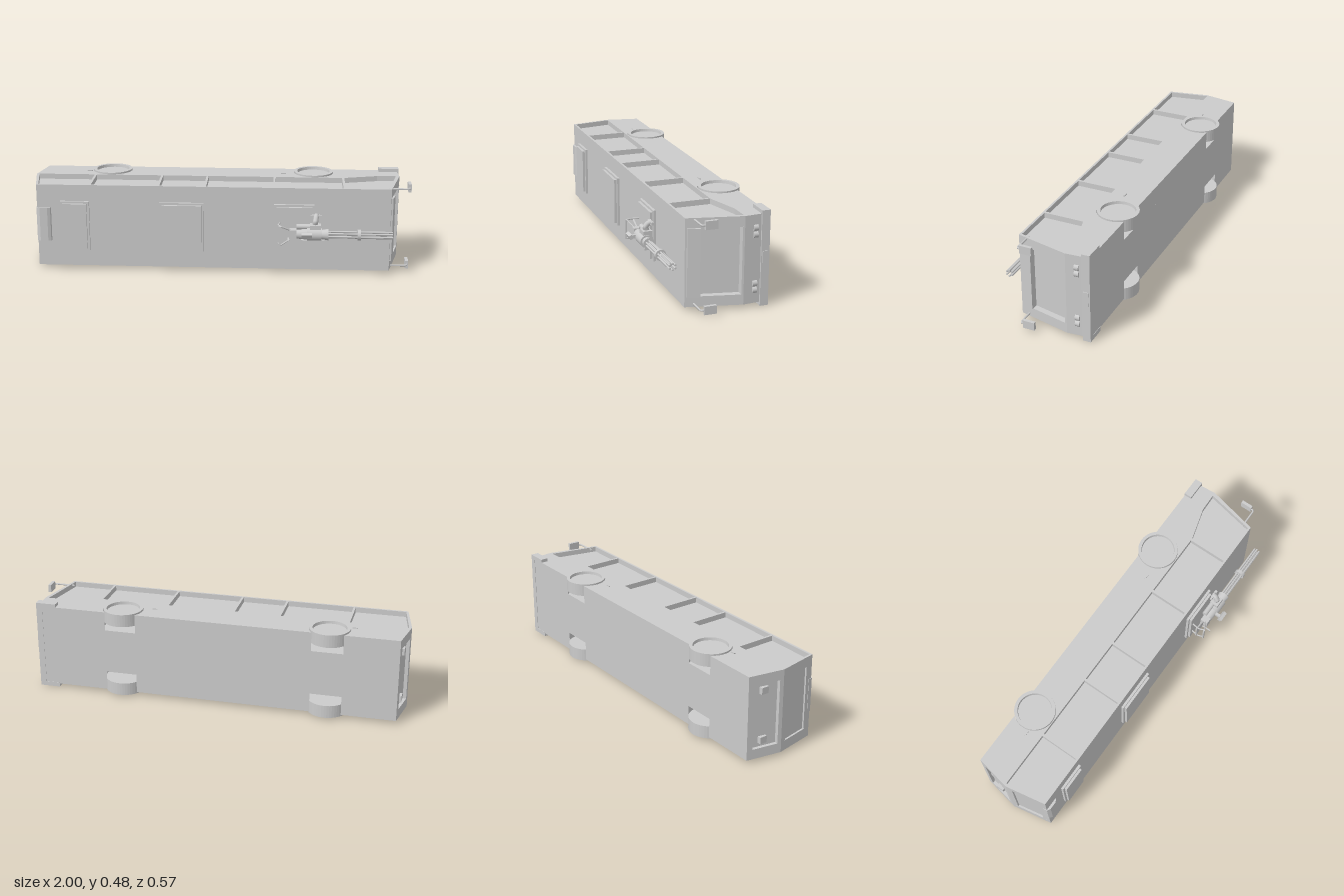
import * as THREE from 'three';

const MID = 0.239; // the bus lies on its side: its width runs along y, its roof faces +z
const WHEEL_X = [-0.6, 0.495], WHEEL_Z = -0.187;

export function createModel() {
  const root = new THREE.Group();
  const mat = new THREE.MeshStandardMaterial({ color: 0xcccccc });
  const openMat = new THREE.MeshStandardMaterial({ color: 0xcccccc, side: THREE.DoubleSide });

  const add = (name, geo, m = mat) => {
    const mesh = new THREE.Mesh(geo, m);
    mesh.name = name;
    root.add(mesh);
    return mesh;
  };
  const box = (name, x0, x1, y0, y1, z0, z1) => {
    const g = new THREE.BoxGeometry(x1 - x0, y1 - y0, z1 - z0);
    g.translate((x0 + x1) / 2, (y0 + y1) / 2, (z0 + z1) / 2);
    return add(name, g);
  };
  // prism with an (x, z) outline, running from y0 to y1; holes wind against the outline
  const vec = (pts) => pts.map(([x, z]) => new THREE.Vector2(x, -z));
  const prism = (name, pts, y0, y1, holes = []) => {
    const s = new THREE.Shape(vec(pts));
    holes.forEach((h) => s.holes.push(new THREE.Path(vec(h).reverse())));
    const g = new THREE.ExtrudeGeometry(s, { depth: y1 - y0, bevelEnabled: false });
    g.rotateX(-Math.PI / 2).translate(0, y0, 0);
    return add(name, g);
  };
  // same on both sides of the bus
  const bothPrism = (name, pts, y0, y1, holes) => {
    prism(name, pts, y0, y1, holes);
    prism(name, pts, 2 * MID - y1, 2 * MID - y0, holes);
  };
  const bothBox = (name, x0, x1, y0, y1, z0, z1) => {
    box(name, x0, x1, y0, y1, z0, z1);
    box(name, x0, x1, 2 * MID - y1, 2 * MID - y0, z0, z1);
  };
  const rodX = (name, x0, x1, y, z, r0, r1 = r0, seg = 16) => {
    const g = new THREE.CylinderGeometry(r1, r0, x1 - x0, seg);
    g.rotateZ(-Math.PI / 2).translate((x0 + x1) / 2, y, z);
    return add(name, g);
  };
  const tube = (name, pts, r, seg = 16) => {
    const c = new THREE.CatmullRomCurve3(pts.map((p) => new THREE.Vector3(...p)), false, 'catmullrom', 0.1);
    return add(name, new THREE.TubeGeometry(c, seg, r, 8), openMat);
  };

  // Body outline, optionally with wheel wells and recessed end panels
  const outline = (wells, recessed) => {
    const p = [[-0.965, -0.255]];
    if (wells) {
      const r = 0.107, a0 = Math.asin((-0.255 - WHEEL_Z) / r);
      for (const wx of WHEEL_X)
        for (let i = 0; i <= 24; i++) {
          const a = Math.PI - a0 + (2 * a0 - Math.PI) * (i / 24);
          p.push([wx + r * Math.cos(a), WHEEL_Z + r * Math.sin(a)]);
        }
    }
    p.push([0.945, -0.255], [0.955, -0.13]);
    if (recessed) p.push([0.953, -0.12], [0.92, -0.12], [0.878, 0.075], [0.909, 0.075]);
    p.push([0.893, 0.145], [-0.96, 0.145]);
    if (recessed) p.push([-0.967, 0.105], [-0.957, 0.105], [-0.985, -0.04], [-0.994, -0.04]);
    p.push([-1, -0.07]);
    if (recessed) p.push([-0.996, -0.09], [-0.978, -0.09], [-0.953, -0.225], [-0.971, -0.225]);
    return p;
  };

  // Body, in layers across its width
  prism('bodyCore', outline(false, true), 0.12, 2 * MID - 0.12);
  bothPrism('bodyWheelBay', outline(true, true), 0.07, 0.12);
  bothPrism('bodyCorner', outline(true, false), 0.046, 0.07);

  // Side walls with window openings
  const top = 0.134, sill = -0.076;
  const windows = [[[-0.986, sill], [-0.685, sill], [-0.685, top], [-0.95, top]]];
  for (const [a, b] of [[-0.673, -0.325], [-0.313, -0.08], [-0.068, 0.28], [0.292, 0.645]])
    windows.push([[a, sill], [b, sill], [b, top], [a, top]]);
  windows.push([[0.657, sill], [0.835, -0.126], [0.935, -0.129], [0.882, top], [0.657, top]]);
  bothPrism('sideWall', outline(true, false), 0.018, 0.046, windows);

  // Destination panel above the windshield
  prism('destinationPanel', [[0.875, 0.075], [0.919, 0.075], [0.904, 0.136], [0.875, 0.136]], 0.07, 0.41);

  // Bumper, plate and lamps
  box('bumper', 0.925, 0.957, 0, 0.478, -0.257, -0.215);
  bothBox('bumperReturn', 0.85, 0.926, 0, 0.024, -0.257, -0.215);
  box('plate', 0.955, 0.961, 0.2, 0.277, -0.25, -0.222);
  for (const y of [0.083, 0.117, 0.361, 0.395]) {
    const g = new THREE.CylinderGeometry(0.0168, 0.0168, 0.023, 20);
    g.rotateX(Math.PI / 2).translate(0.944, y, -0.1865);
    add('headlight', g);
  }
  bothBox('tailLight', -0.98, -0.958, 0.09, 0.125, -0.185, -0.145);

  // Wheels with recessed hubs
  const tyre = [[0, -0.034], [0.105, -0.034], [0.105, 0.033], [0.088, 0.033], [0.086, 0.018], [0, 0.018]]
    .map(([r, h]) => new THREE.Vector2(r, h));
  for (const x of WHEEL_X)
    for (const s of [1, -1]) {
      // unshared vertices keep the rims crisp
      const g = new THREE.LatheGeometry(tyre, 48).toNonIndexed();
      g.computeVertexNormals();
      const w = add('wheel', g);
      w.position.set(x, MID + s * 0.196, WHEEL_Z);
      if (s < 0) w.rotation.x = Math.PI;
    }
  bothBox('sideHandle', -0.735, -0.708, 0.013, 0.02, -0.152, -0.145);
  bothBox('sideHandle', 0.32, 0.347, 0.013, 0.02, -0.152, -0.145);

  // Roof hatches and rear cooling unit
  for (const [a, b] of [[-0.835, -0.683], [-0.312, -0.08], [0.287, 0.497]]) {
    box('hatchBase', a, b, 0.107, 0.373, 0.14, 0.158);
    box('hatchLid', a + 0.012, b - 0.012, 0.118, 0.362, 0.156, 0.171);
  }
  prism('coolingUnit', [[-0.966, 0.125], [-0.883, 0.14], [-0.89, 0.152], [-0.905, 0.158], [-0.945, 0.158],
    [-0.963, 0.147]], 0.155, 0.335);

  // Mirrors on bent arms
  for (const s of [1, -1]) {
    const y = 0.2425 + s * 0.209;
    tube('mirrorArm', [[0.88, y, 0.101], [0.985, y, 0.1], [0.991, y, 0.094], [0.991, y, 0.06]], 0.005);
    box('mirror', 0.984, 1, y - 0.021, y + 0.021, 0.023, 0.085);
  }

  // Roof gun: pedestal and cradle
  const gy = 0.231, gz = 0.206;
  box('gunPedestal', 0.44, 0.475, gy - 0.012, gy + 0.012, 0.168, 0.2);
  box('gunCradle', 0.42, 0.53, gy - 0.022, gy + 0.022, 0.172, 0.19);

  // Receiver and motor
  rodX('gunReceiver', 0.395, 0.46, gy, gz, 0.022, 0.028, 20);
  rodX('gunHousing', 0.46, 0.535, gy, gz, 0.033, 0.033, 20);
  rodX('gunCollar', 0.535, 0.57, gy, gz, 0.024, 0.03, 20);
  rodX('gunMotor', 0.405, 0.5, gy + 0.035, gz - 0.018, 0.014);
  box('gunRearBlock', 0.37, 0.405, gy - 0.026, gy + 0.026, gz - 0.02, gz + 0.022);

  // Rotating barrels and clamps
  for (let i = 0; i < 6; i++) {
    const a = (i / 6) * Math.PI * 2;
    rodX('barrel', 0.55, 0.9, gy + 0.0155 * Math.cos(a), gz + 0.0155 * Math.sin(a), 0.005, 0.005, 10);
  }
  rodX('barrelCore', 0.55, 0.87, gy, gz, 0.008, 0.008, 10);
  rodX('barrelClamp', 0.72, 0.737, gy, gz, 0.028, 0.028, 24);

  // Rear shield and grip frame
  const shield = new THREE.Shape([[0.305, 0.18], [0.38, 0.212], [0.38, 0.25], [0.305, 0.279]]
    .map(([x, y]) => new THREE.Vector2(x, y)));
  add('gripPlate', new THREE.ExtrudeGeometry(shield, { depth: 0.008, bevelEnabled: false }).translate(0, 0, 0.197));
  for (const y of [0.18, 0.279])
    tube('gripFrame', [[0.385, gy + (y - gy) * 0.35, 0.21], [0.325, y, 0.24], [0.312, y, 0.21], [0.318, y, 0.168]], 0.004);
  box('gripBar', 0.313, 0.323, 0.178, 0.281, 0.238, 0.245);
  box('triggerLever', 0.36, 0.366, 0.205, 0.211, 0.206, 0.256);

  // Ammunition feed, chute and sight
  box('feedBlock', 0.475, 0.53, 0.252, 0.282, 0.175, 0.222);
  tube('feedChute', [[0.5, 0.27, 0.19], [0.502, 0.296, 0.203], [0.505, 0.314, 0.19], [0.507, 0.322, 0.17]], 0.014);
  box('chuteMouth', 0.475, 0.535, 0.31, 0.326, 0.168, 0.182);
  box('sightStem', 0.445, 0.46, 0.228, 0.244, 0.23, 0.265);
  const sight = box('sight', -0.027, 0.027, -0.011, 0.011, -0.009, 0.009);
  sight.position.set(0.457, 0.243, 0.268);
  sight.rotation.x = 0.5;
  box('sidePlate', 0.43, 0.55, 0.192, 0.203, 0.195, 0.222);

  return root;
}
